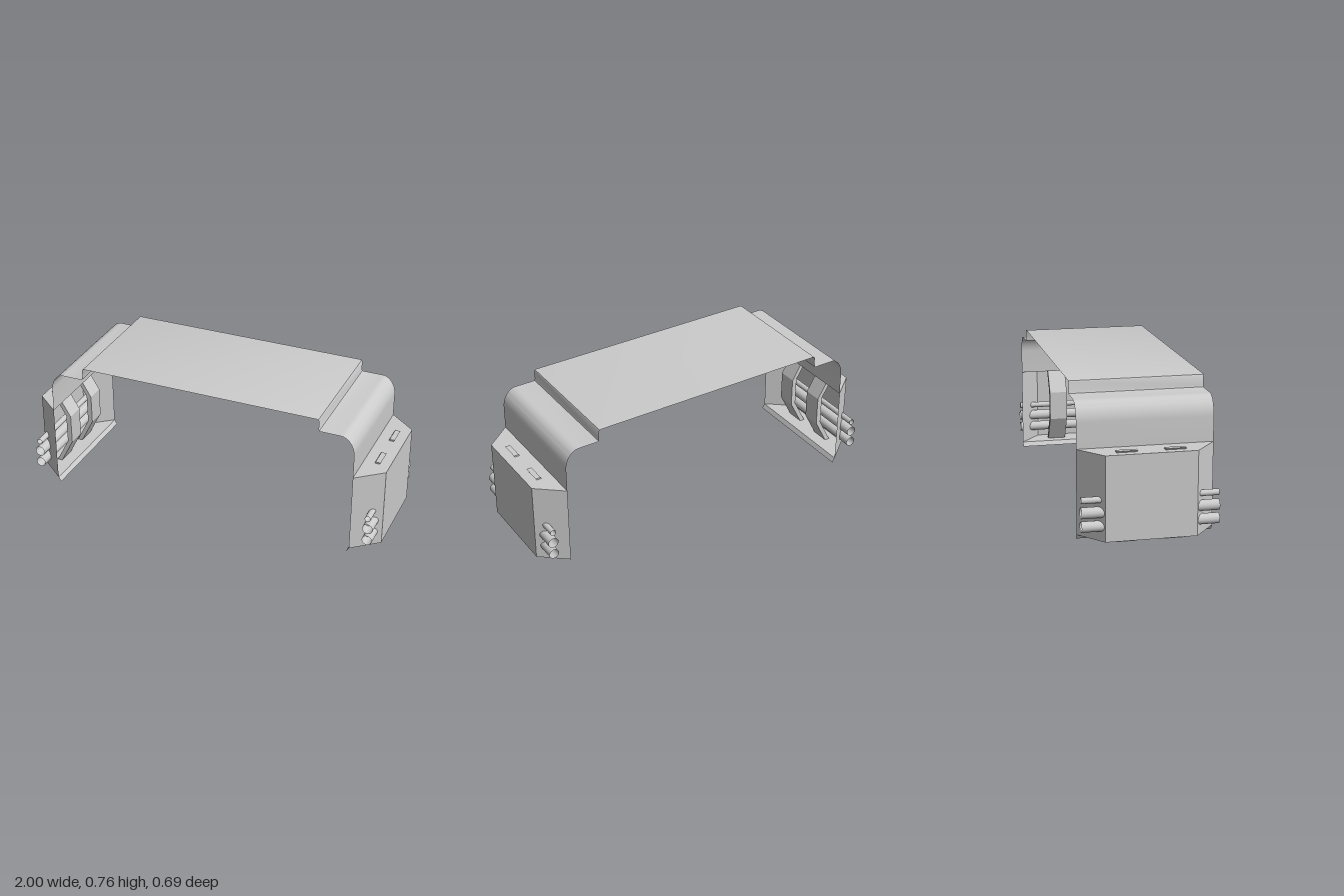
import * as THREE from 'three';
import { toCreasedNormals } from 'three/addons/utils/BufferGeometryUtils.js';

const HALF = 0.345;                       // half depth of the bracket
const BOTTOM = 0.025, TOP = 0.46;         // pod floor and roof heights
const material = new THREE.MeshStandardMaterial({ color: 0xcccccc, side: THREE.DoubleSide });

function add(parent, name, geometry) {
  const mesh = new THREE.Mesh(geometry, material);
  mesh.name = name;
  parent.add(mesh);
  return mesh;
}

// Thin sheet: an [x, y] profile swept from z = HALF to z = -HALF
function sheet(profile) {
  const g = new THREE.PlaneGeometry(1, 1, profile.length - 1, 1);
  const p = g.attributes.position, n = profile.length;
  for (let i = 0; i < p.count; i++) {
    const [x, y] = profile[i % n];
    p.setXYZ(i, x, y, i < n ? -HALF : HALF);
  }
  return toCreasedNormals(g, 0.6);
}

// Hollow pod outline in plan, as [x, z]; open toward the centre
const plan = [[0.86, HALF], [1, 0.23], [1, -0.23], [0.86, -HALF]];

function podWall() {
  const g = new THREE.PlaneGeometry(1, 1, plan.length - 1, 1);
  const p = g.attributes.position;
  for (let i = 0; i < p.count; i++) {
    const [x, z] = plan[i % plan.length];
    p.setXYZ(i, x, i < plan.length ? TOP : BOTTOM, z);
  }
  return toCreasedNormals(g, 0.3);
}

function podPlate(y, facing) {
  const shape = new THREE.Shape(plan.map(([x, z]) => new THREE.Vector2(x, -facing * z)));
  return new THREE.ShapeGeometry(shape).rotateX(-facing * Math.PI / 2).translate(0, y, 0);
}

// Bent retaining strap, its ends poking through roof and floor
function strapGeometry(width) {
  const inner = [[0.922, 0.468], [0.84, 0.33], [0.84, 0.165], [0.922, 0.01]];
  const outer = inner.map(([x, y]) => [x + 0.028, y]).reverse();
  const shape = new THREE.Shape([...inner, ...outer].map(([x, y]) => new THREE.Vector2(x, y)));
  return new THREE.ExtrudeGeometry(shape, { depth: width, bevelEnabled: false })
    .translate(0, 0, -width / 2);
}

function makePod(name, shift) {
  const pod = new THREE.Group();
  pod.name = name;
  add(pod, 'podWall', podWall());
  add(pod, 'podRoof', podPlate(TOP, 1));
  add(pod, 'podFloor', podPlate(BOTTOM, -1));
  add(pod, 'floorLip', sheet([[0.86, BOTTOM], [0.845, 0]]));

  const contents = new THREE.Group();
  contents.name = 'pipesAndStraps';
  contents.position.x = shift;
  pod.add(contents);

  // Open pipes running through the pod: [x, y, radius]
  for (const [x, y, r] of [[0.953, 0.1, 0.027], [0.953, 0.17, 0.028], [0.951, 0.233, 0.016]]) {
    const g = new THREE.CylinderGeometry(r, r, 2 * HALF, 28, 1, true).rotateX(Math.PI / 2);
    add(contents, 'pipe', g).position.set(x, y, 0);
  }
  for (const z of [0.115, -0.127]) {
    add(contents, 'strap', strapGeometry(0.103)).position.z = z;
  }
  return pod;
}

export function createModel() {
  const model = new THREE.Group();
  model.name = 'archedBracket';

  // Half of the arch from the raised deck, over the step and shelf, down the side
  const half = [[0.655, 0.757], [0.664, 0.755], [0.668, 0.748], [0.668, 0.70], [0.671, 0.692], [0.678, 0.69]];
  const bend = new THREE.CubicBezierCurve(
    new THREE.Vector2(0.785, 0.69), new THREE.Vector2(0.825, 0.69),
    new THREE.Vector2(0.86, 0.645), new THREE.Vector2(0.86, 0.59));
  half.push(...bend.getPoints(12).map((p) => [p.x, p.y]), [0.86, TOP]);
  const mirrored = half.map(([x, y]) => [-x, y]).reverse();
  add(model, 'archSheet', sheet([...mirrored, ...half]));

  // Side pods; the second is turned half way round
  model.add(makePod('leftPod', 0));
  const right = makePod('rightPod', 0.015);
  right.rotation.y = Math.PI;
  model.add(right);
  return model;
}
